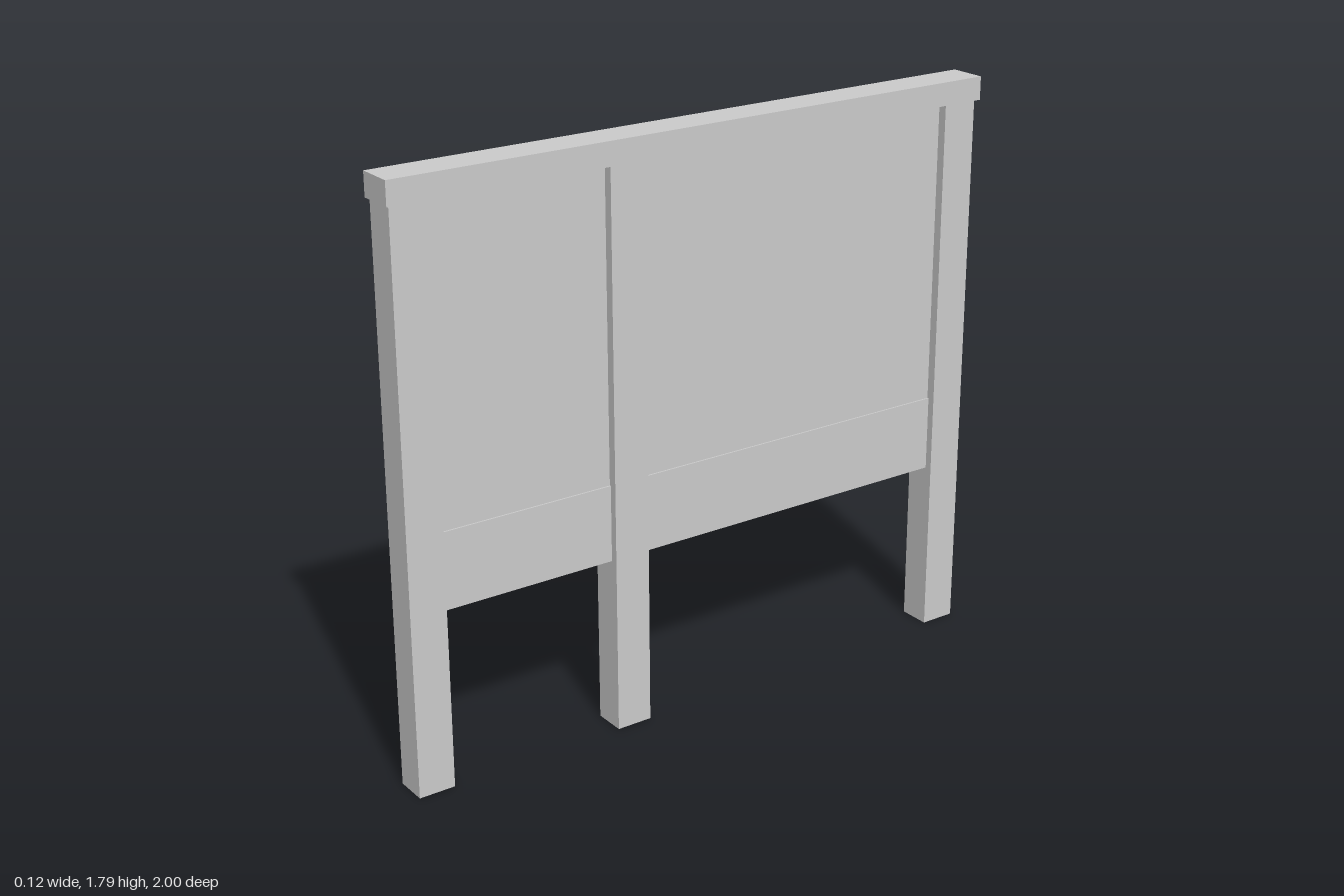
import * as THREE from 'three';

export function createModel() {
  const group = new THREE.Group();
  group.name = 'panelFence';
  const material = new THREE.MeshStandardMaterial({ color: 0xcccccc });

  const add = (name, geometry, x, y, z) => {
    const mesh = new THREE.Mesh(geometry, material);
    mesh.name = name;
    mesh.position.set(x, y, z);
    group.add(mesh);
    return mesh;
  };
  // box spanning y0..y1, centred on x and z
  const board = (name, width, y0, y1, depth, x = 0, z = 0) =>
    add(name, new THREE.BoxGeometry(width, y1 - y0, depth), x, (y0 + y1) / 2, z);

  const axisX = -0.002;

  // three posts, the middle one off centre
  const posts = { frontPost: 0.933, middlePost: 0.264, backPost: -0.93 };
  for (const [name, z] of Object.entries(posts)) board(name, 0.1, 0, 1.73, 0.113, axisX, z);

  // cap rail over the posts
  board('capRail', 0.116, 1.715, 1.786, 2);

  // main panel and the slightly thicker skirting board below it
  board('panel', 0.044, 0.77, 1.72, 1.86, axisX);
  board('skirtingBoard', 0.054, 0.54, 0.775, 1.86, axisX);

  // round rail running between the posts on one side
  const rail = add('roundRail', new THREE.CylinderGeometry(0.018, 0.018, 1.86, 20), -0.034, 0.66, 0);
  rail.rotation.x = Math.PI / 2;

  return group;
}
